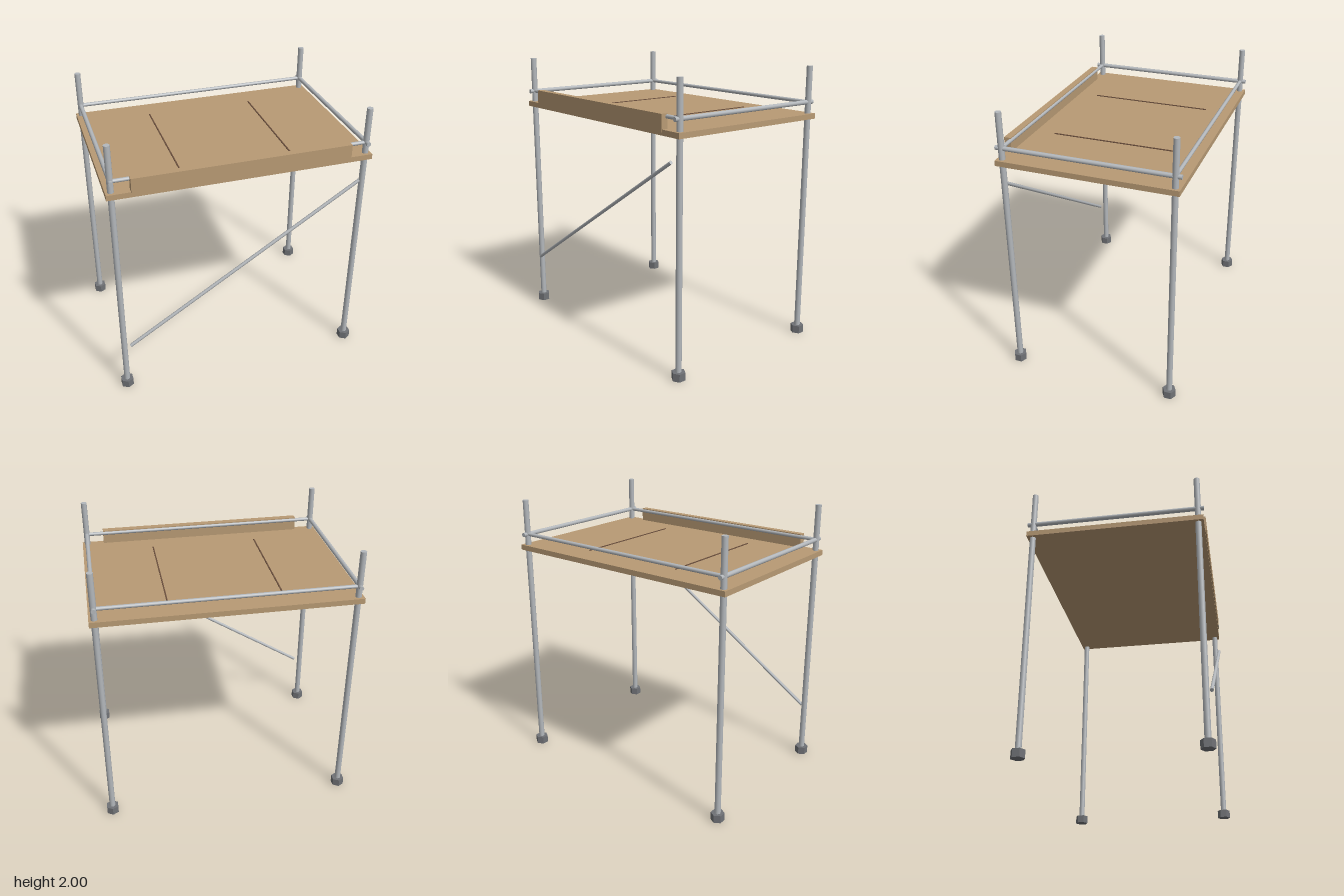
import * as THREE from 'three';

const steel = new THREE.MeshStandardMaterial({ color: 0xb4b8bc });
const footGrey = new THREE.MeshStandardMaterial({ color: 0x707276, flatShading: true });
const wood = new THREE.MeshStandardMaterial({ color: 0xb89a74 });
const darkWood = new THREE.MeshStandardMaterial({ color: 0x6b4f3d });

const POLE_X = 0.882, POLE_Z = 0.588, RAIL_Y = 1.747;

export function createModel() {
  const model = new THREE.Group();
  model.name = 'scaffoldPlatform';

  const add = (name, geometry, material, x, y, z) => {
    const mesh = new THREE.Mesh(geometry, material);
    mesh.name = name;
    mesh.position.set(x, y, z);
    model.add(mesh);
    return mesh;
  };

  // Round bar running between two points
  const bar = (name, a, b, radius, sides) => {
    const from = new THREE.Vector3(...a), to = new THREE.Vector3(...b);
    const dir = to.clone().sub(from);
    const mid = from.clone().add(to).multiplyScalar(0.5);
    const mesh = add(name, new THREE.CylinderGeometry(radius, radius, dir.length(), sides), steel, mid.x, mid.y, mid.z);
    mesh.quaternion.setFromUnitVectors(new THREE.Vector3(0, 1, 0), dir.normalize());
  };

  // Corner poles standing on hexagonal feet
  for (const sx of [-1, 1]) {
    for (const sz of [-1, 1]) {
      const x = sx * POLE_X, z = sz * POLE_Z;
      bar('pole', [x, 0.02, z], [x, 2, z], 0.0215, 12);
      add('foot', new THREE.CylinderGeometry(0.048, 0.048, 0.057, 6), footGrey, x, 0.0285, z);
    }
  }

  // Guard rails: side rails run past the poles
  for (const s of [-1, 1]) {
    bar('longRail', [-POLE_X, RAIL_Y, s * POLE_Z], [POLE_X, RAIL_Y, s * POLE_Z], 0.0135, 10);
    bar('sideRail', [s * POLE_X, RAIL_Y, -0.63], [s * POLE_X, RAIL_Y, 0.63], 0.016, 10);
  }

  // Diagonal brace across the front
  bar('diagonalBrace', [-0.841, 0.395, 0.623], [0.841, 1.474, 0.623], 0.0125, 8);

  // Deck with two dark seams, and the toe board along the front
  add('deck', new THREE.BoxGeometry(1.838, 0.038, 1.252), wood, 0, 1.649, 0);
  for (const s of [-1, 1]) {
    add('deckSeam', new THREE.BoxGeometry(0.009, 0.008, 0.88), darkWood, s * 0.393, 1.669, 0);
  }
  add('toeBoard', new THREE.BoxGeometry(1.516, 0.115, 0.048), wood, 0, 1.709, 0.609);

  return model;
}
